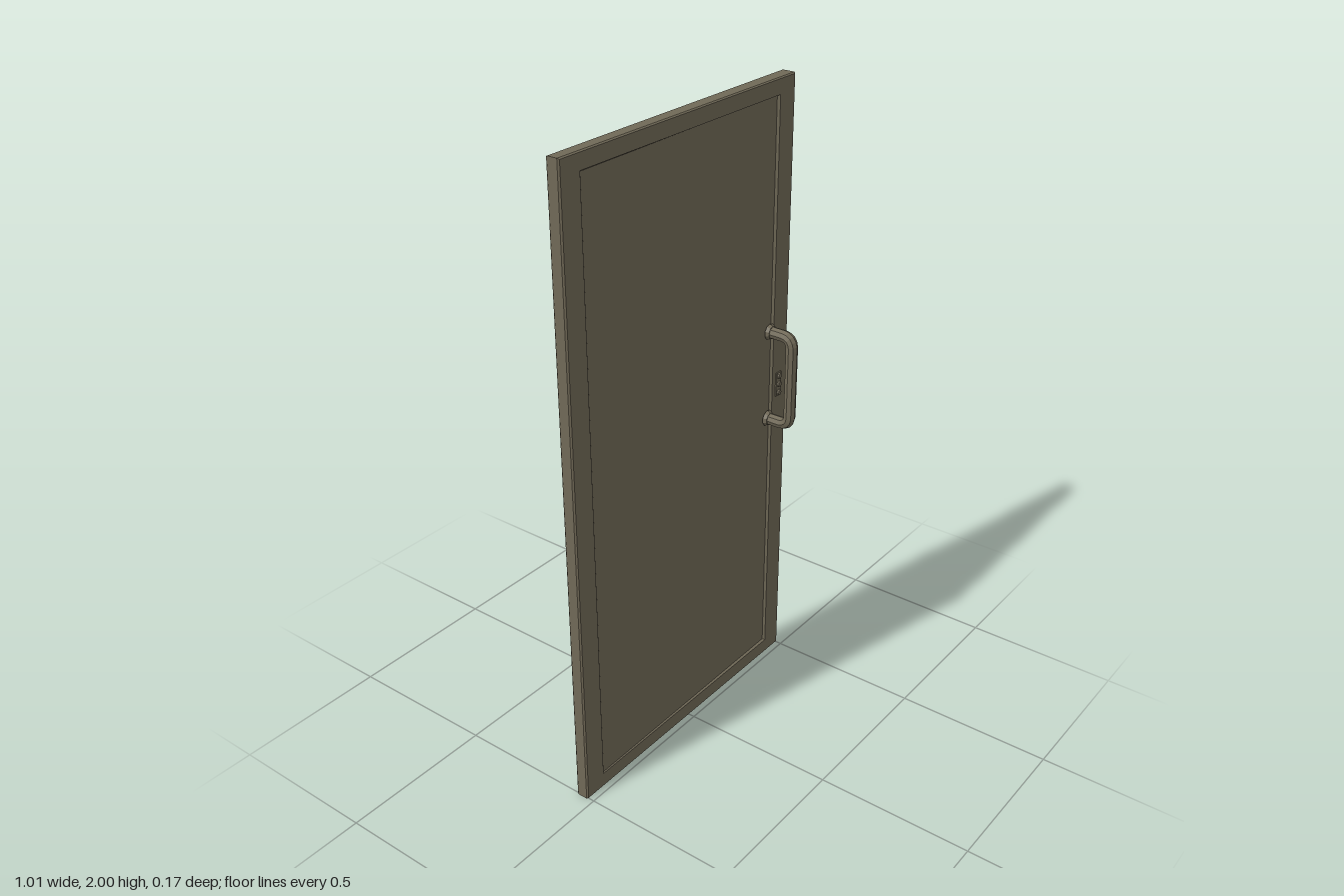
import * as THREE from 'three';

export function createModel() {
  const root = new THREE.Group();
  root.name = 'door';
  const paint = new THREE.MeshStandardMaterial({ color: 0x706957 });
  paint.name = 'olive grey';
  paint.flatShading = true;

  const add = (geometry, name, x = 0, y = 0, z = 0) => {
    const mesh = new THREE.Mesh(geometry, paint);
    mesh.name = name;
    mesh.position.set(x, y, z);
    root.add(mesh);
    return mesh;
  };

  // Joins rectangular rings [insetX, insetY, z, slope of z along x] from front to back
  const shell = (rings) => {
    const pos = [];
    const corner = ([ix, iy, z, slope = 0], j) => {
      const x = (j === 0 || j === 3 ? -1 : 1) * (0.505 - ix);
      return [x, j < 2 ? iy : 2 - iy, z + slope * x];
    };
    for (let i = 0; i < rings.length - 1; i++) {
      for (let j = 0; j < 4; j++) {
        const k = (j + 1) % 4;
        const a = corner(rings[i], j), b = corner(rings[i + 1], j);
        const c = corner(rings[i + 1], k), d = corner(rings[i], k);
        pos.push(...a, ...b, ...c, ...a, ...c, ...d);
      }
    }
    const g = new THREE.BufferGeometry();
    g.setAttribute('position', new THREE.Float32BufferAttribute(pos, 3));
    g.computeVertexNormals();
    return g;
  };

  // Frame with a thin front rebate and a bevelled back rebate
  add(shell([
    [0.079, 0.052, -0.025, -0.006],
    [0.075, 0.049, -0.019],
    [0.004, 0.003, -0.019],
    [0, 0, -0.024],
    [0, 0, -0.06, -0.008],
    [0.004, 0.003, -0.066, -0.008],
    [0.07, 0.045, -0.066, -0.008],
    [0.076, 0.05, -0.06, -0.008],
    [0.095, 0.068, -0.054],
  ]), 'frame');

  // Front and back panels, each collapsing to its centre
  add(shell([[0.505, 1, -0.025, -0.006], [0.079, 0.052, -0.025, -0.006]]), 'frontPanel');
  add(shell([[0.095, 0.068, -0.054], [0.505, 1, -0.054]]), 'backPanel');

  // Pull handle with rounded corners
  const hx = 0.408, low = 0.926, high = 1.224, out = 0.064, bend = 0.035;
  const v = (y, z) => new THREE.Vector3(hx, y, z);
  const path = new THREE.CurvePath();
  path.add(new THREE.LineCurve3(v(low, -0.021), v(low, out - bend)));
  path.add(new THREE.QuadraticBezierCurve3(v(low, out - bend), v(low, out), v(low + bend, out)));
  path.add(new THREE.LineCurve3(v(low + bend, out), v(high - bend, out)));
  path.add(new THREE.QuadraticBezierCurve3(v(high - bend, out), v(high, out), v(high, out - bend)));
  path.add(new THREE.LineCurve3(v(high, out - bend), v(high, -0.021)));
  add(new THREE.TubeGeometry(path, 40, 0.019, 8), 'pullHandle');

  // Collars where the handle meets the frame
  for (const y of [low, high]) {
    const collar = add(new THREE.CylinderGeometry(0.021, 0.026, 0.012, 10), 'handleCollar', hx, y, -0.014);
    collar.rotation.x = Math.PI / 2;
  }

  // Lock: small raised plates with studs on both faces
  add(new THREE.BoxGeometry(0.026, 0.08, 0.006), 'frontLockPlate', 0.46, 1.027, -0.018);
  add(new THREE.BoxGeometry(0.042, 0.09, 0.01), 'backLockPlate', 0.462, 1.027, -0.073);
  for (const y of [0.998, 1.027, 1.056]) {
    const front = add(new THREE.CylinderGeometry(0.008, 0.011, 0.008, 8), 'frontLockStud', 0.46, y, -0.013);
    front.rotation.x = Math.PI / 2;
    const back = add(new THREE.CylinderGeometry(0.009, 0.012, 0.009, 8), 'backLockStud', 0.462, y, -0.08);
    back.rotation.x = -Math.PI / 2;
  }

  return root;
}
